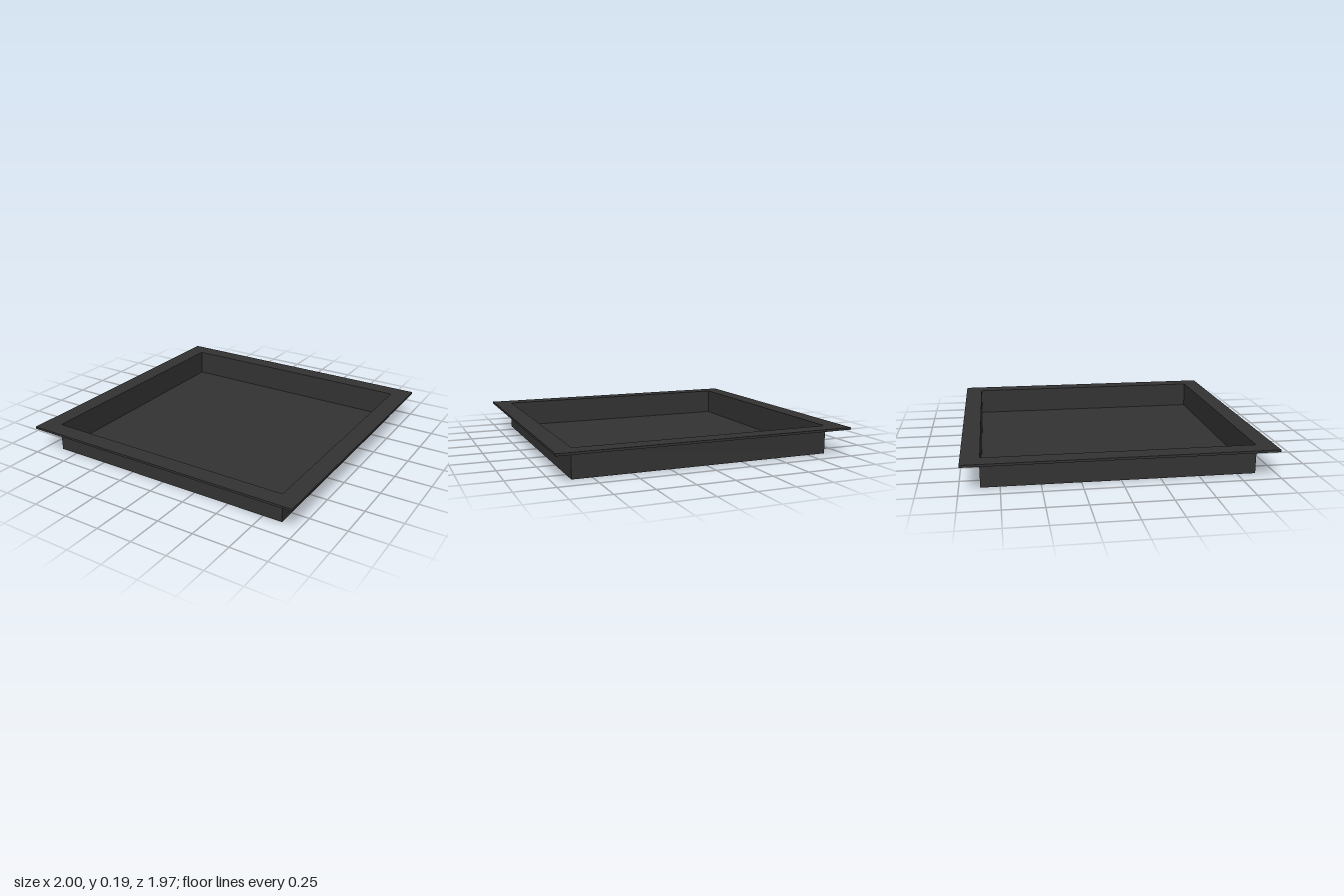
import * as THREE from 'three';

const material = new THREE.MeshStandardMaterial({ color: 0x333333 });

// Rectangular ring lying flat, given half sizes, spanning y0..y1
function frame(name, outer, inner, y0, y1) {
  const corners = ([x, z]) => [[-x, -z], [x, -z], [x, z], [-x, z]].map(([a, b]) => new THREE.Vector2(a, b));
  const shape = new THREE.Shape(corners(outer));
  shape.holes.push(new THREE.Path(corners(inner).reverse()));
  const geometry = new THREE.ExtrudeGeometry(shape, { depth: y1 - y0, bevelEnabled: false });
  geometry.rotateX(-Math.PI / 2);
  geometry.translate(0, y0, 0);
  const mesh = new THREE.Mesh(geometry, material);
  mesh.name = name;
  return mesh;
}

export function createModel() {
  const group = new THREE.Group();
  group.name = 'tray';

  const rimOuter = [1, 0.985];
  const wallOuter = [0.88, 0.87];
  const wallInner = [0.875, 0.865];
  const rimBottom = 0.175, rimTop = 0.19, floorTop = 0.005;

  // Wide flat rim around the opening
  group.add(frame('rim', rimOuter, wallInner, rimBottom, rimTop));

  // Thin upright sides
  group.add(frame('walls', wallOuter, wallInner, floorTop, rimBottom));

  // Thin bottom sheet
  const floor = new THREE.Mesh(new THREE.BoxGeometry(wallOuter[0] * 2, floorTop, wallOuter[1] * 2), material);
  floor.position.y = floorTop / 2;
  floor.name = 'floor';
  group.add(floor);

  return group;
}
